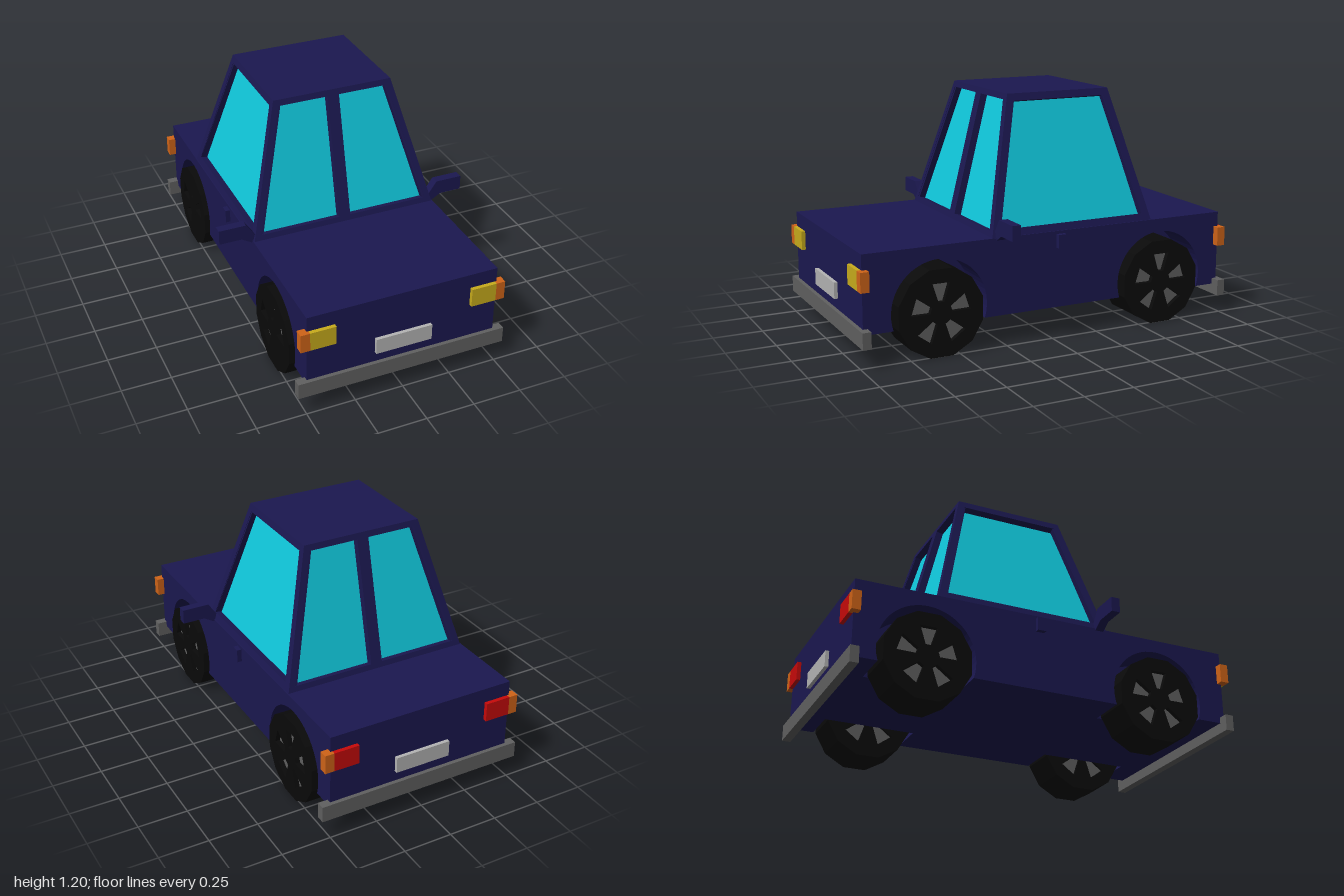
import * as THREE from 'three';

const mat = (color) => new THREE.MeshStandardMaterial({ color, flatShading: true });
const paint = mat(0x1b1850), glass = mat(0x10c8dc), rubber = mat(0x0a0a0a), steel = mat(0x606060);
const plateGrey = mat(0xb4b4b4), amber = mat(0xd06418), yellow = mat(0xc8ac1c), red = mat(0xc80a0a);

const points = (list) => list.map(([x, y]) => new THREE.Vector2(x, y));

function add(parent, name, geometry, material) {
  const mesh = new THREE.Mesh(geometry, material);
  mesh.name = name;
  parent.add(mesh);
  return mesh;
}

// Box given by its limits on each axis
function block(parent, name, material, [x0, x1], [y0, y1], [z0, z1]) {
  const mesh = add(parent, name, new THREE.BoxGeometry(x1 - x0, y1 - y0, z1 - z0), material);
  mesh.position.set((x0 + x1) / 2, (y0 + y1) / 2, (z0 + z1) / 2);
  return mesh;
}

const BELT = 0.54, ROOF = 1.2, FLOOR = 0.155, END = 0.98;
const AXLES = [-0.622, 0.597];

// Lower body: plain core with two sides that have wheel arches cut out
function addBody(car) {
  block(car, 'bodyCore', paint, [-0.29, 0.29], [FLOOR, BELT], [-END, END]);
  const r = 0.245, cy = 0.23, a = Math.asin((cy - FLOOR) / r);
  const side = new THREE.Shape();
  side.moveTo(-END, BELT);
  side.lineTo(-END, FLOOR);
  for (const z of AXLES) side.absarc(z, cy, r, Math.PI + a, -a, true);
  side.lineTo(END, FLOOR);
  side.lineTo(END, BELT);
  const geometry = new THREE.ExtrudeGeometry(side, { depth: 0.2, bevelEnabled: false, curveSegments: 16 });
  geometry.rotateY(-Math.PI / 2);
  add(car, 'bodySideLeft', geometry, paint).position.x = 0.49;
  add(car, 'bodySideRight', geometry, paint).position.x = -0.29;
}

// Leaning cabin wall with window openings and recessed glass
function addWall(cabin, name, angle, base, top, distance, topDistance, panes) {
  const wall = new THREE.Group();
  wall.name = name;
  wall.rotation.y = angle;
  cabin.add(wall);
  const slope = (distance - topDistance) / (ROOF - BELT);
  const lean = (geometry) => {
    const p = geometry.attributes.position;
    for (let i = 0; i < p.count; i++) {
      const y = p.getY(i), z = p.getZ(i);
      p.setXYZ(i, p.getX(i), y + z * slope, distance - (y - BELT) * slope + z);
    }
    geometry.computeVertexNormals();
    return geometry;
  };
  const outline = [[-base, BELT], [base, BELT], [top, ROOF], [-top, ROOF]];
  const frame = new THREE.Shape(points(outline));
  frame.holes = panes.map((pane) => new THREE.Path(points(pane)));
  const frameGeometry = new THREE.ExtrudeGeometry(frame, { depth: 0.04, bevelEnabled: false });
  add(wall, 'windowFrame', lean(frameGeometry.translate(0, 0, -0.04)), paint);
  const sheet = new THREE.ShapeGeometry(new THREE.Shape(points(
    [[0.03 - base, 0.55], [base - 0.03, 0.55], [top - 0.02, 1.185], [0.02 - top, 1.185]])));
  add(wall, 'windowGlass', lean(sheet.translate(0, 0, -0.035)), glass);
}

function addCabin(car) {
  const cabin = new THREE.Group();
  cabin.name = 'cabin';
  cabin.position.z = -0.125;
  car.add(cabin);
  const half = [[0.03, 0.567], [0.447, 0.567], [0.287, 1.17], [0.03, 1.17]];
  const endPanes = [half, half.map(([x, y]) => [-x, y])];
  const sidePanes = [[[-0.395, 0.575], [0.395, 0.575], [0.255, 1.165], [-0.255, 1.165]]];
  addWall(cabin, 'windscreen', 0, 0.485, 0.31, 0.445, 0.28, endPanes);
  addWall(cabin, 'rearWindow', Math.PI, 0.485, 0.31, 0.445, 0.28, endPanes);
  addWall(cabin, 'leftWindow', Math.PI / 2, 0.445, 0.28, 0.485, 0.31, sidePanes);
  addWall(cabin, 'rightWindow', -Math.PI / 2, 0.445, 0.28, 0.485, 0.31, sidePanes);
  const roof = add(cabin, 'roof', new THREE.PlaneGeometry(0.62, 0.56), paint);
  roof.rotation.x = -Math.PI / 2;
  roof.position.y = ROOF;
}

// Twelve-sided wheel with five wedge openings over a grey hub
function addWheel(car, side, z) {
  const wheel = new THREE.Group();
  wheel.name = 'wheel';
  wheel.position.set(side * 0.51, 0.215, z);
  wheel.rotation.y = side * Math.PI / 2;
  car.add(wheel);
  const ring = [];
  for (let i = 0; i < 12; i++) {
    const t = (i + 0.5) * Math.PI / 6;
    ring.push([0.2226 * Math.cos(t), 0.2226 * Math.sin(t)]);
  }
  const tyre = new THREE.Shape(points(ring));
  for (let i = 0; i < 5; i++) {
    const wedge = points([[-0.015, 0.055], [0.015, 0.055], [0.044, 0.147], [-0.044, 0.147]]);
    wedge.forEach((v) => v.rotateAround(new THREE.Vector2(), i * Math.PI * 2 / 5));
    tyre.holes.push(new THREE.Path(wedge));
  }
  const geometry = new THREE.ExtrudeGeometry(tyre, { depth: 0.21, bevelEnabled: false });
  add(wheel, 'tyre', geometry.translate(0, 0, -0.21), rubber);
  const hub = add(wheel, 'hub', new THREE.CylinderGeometry(0.165, 0.165, 0.17, 12), steel);
  hub.rotation.x = Math.PI / 2;
  hub.position.z = -0.11;
}

// Bumper, plate and lamps of one end, built facing +z
function addEnd(car, name, angle, lampMaterial) {
  const end = new THREE.Group();
  end.name = name;
  end.rotation.y = angle;
  car.add(end);
  block(end, 'bumper', steel, [-0.54, 0.54], [0.103, 0.185], [0.957, 1]);
  block(end, 'plate', plateGrey, [-0.145, 0.145], [0.24, 0.322], [0.975, 0.998]);
  for (const s of [-1, 1]) {
    const span = (a, b) => (s > 0 ? [a, b] : [-b, -a]);
    block(end, 'lamp', lampMaterial, span(0.35, 0.48), [0.368, 0.465], [0.97, 1]);
    block(end, 'turnSignal', amber, span(0.48, 0.527), [0.368, 0.465], [0.956, 1]);
  }
}

// Door mirrors and handles
function addDoorParts(car) {
  const outline = [[0.465, 0.53], [0.495, 0.53], [0.545, 0.56], [0.66, 0.56], [0.66, 0.635], [0.52, 0.635], [0.475, 0.57]];
  for (const s of [-1, 1]) {
    const shape = new THREE.Shape(points(outline.map(([x, y]) => [s * x, y])));
    const geometry = new THREE.ExtrudeGeometry(shape, { depth: 0.045, bevelEnabled: false });
    add(car, 'doorMirror', geometry, paint).position.z = 0.257;
    block(car, 'doorHandle', paint, s > 0 ? [0.48, 0.514] : [-0.514, -0.48], [0.457, 0.525], [-0.068, -0.024]);
  }
}

export function createModel() {
  const car = new THREE.Group();
  car.name = 'car';
  addBody(car);
  addCabin(car);
  for (const z of AXLES) for (const s of [-1, 1]) addWheel(car, s, z);
  addEnd(car, 'frontEnd', 0, yellow);
  addEnd(car, 'rearEnd', Math.PI, red);
  addDoorParts(car);
  return car;
}
